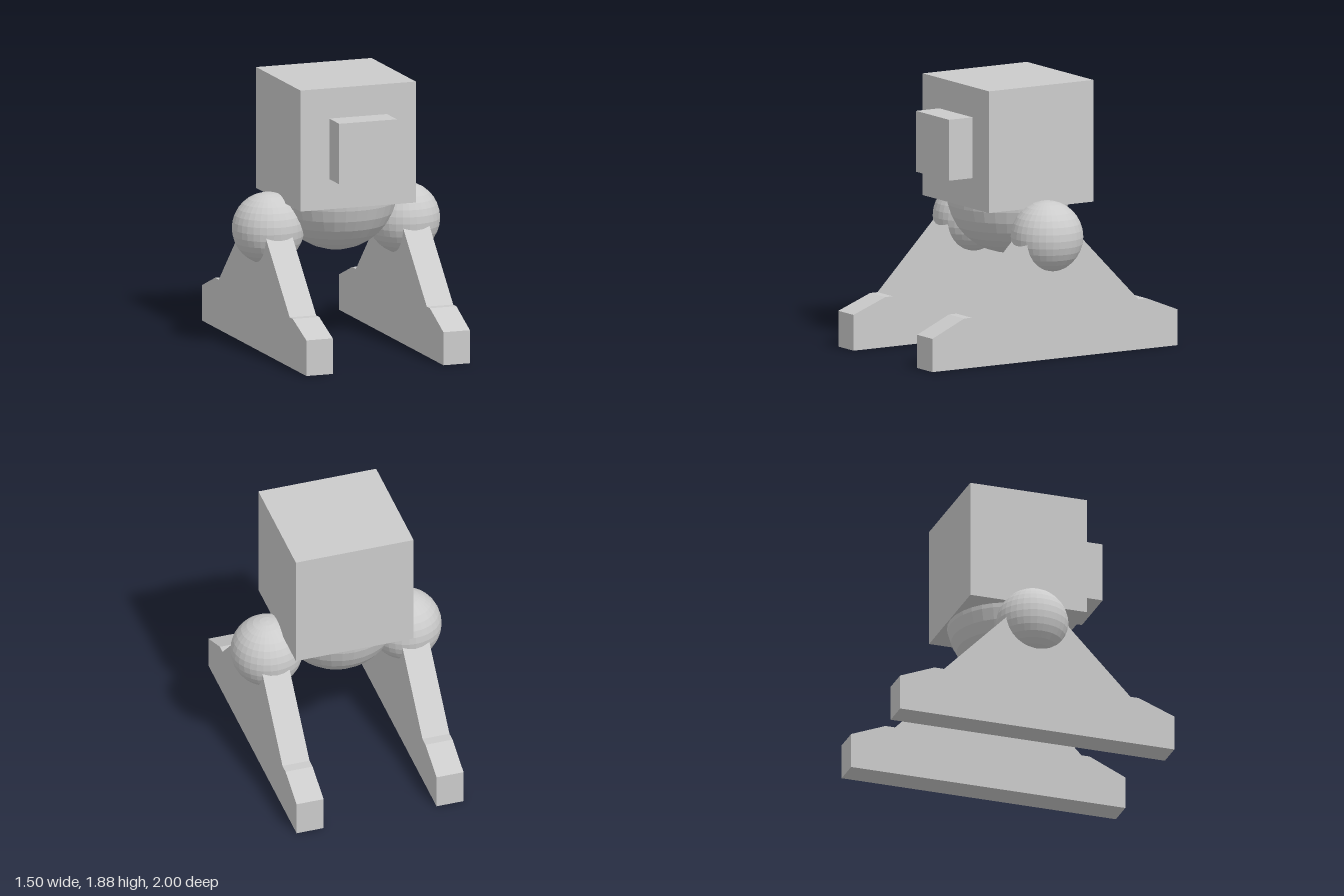
import * as THREE from 'three';

const material = new THREE.MeshStandardMaterial({ color: 0xcccccc, flatShading: true });

function part(name, geometry, x, y, z) {
  const mesh = new THREE.Mesh(geometry, material);
  mesh.name = name;
  mesh.position.set(x, y, z);
  return mesh;
}

// Side profile of a leg, drawn as (z, y) and extruded across x
function legGeometry(width, frontToe) {
  const profile = [
    [-1, 0], [1, 0], [1, frontToe], [0.74, 0.35], [0.68, 0.35], [0.2, 0.84],
    [-0.2, 0.84], [-0.68, 0.35], [-0.75, 0.35], [-1, 0.25],
  ];
  const shape = new THREE.Shape(profile.map(([z, y]) => new THREE.Vector2(z, y)));
  const geometry = new THREE.ExtrudeGeometry(shape, { depth: width, bevelEnabled: false });
  geometry.translate(0, 0, -width / 2);
  geometry.rotateY(-Math.PI / 2);
  return geometry;
}

export function createModel() {
  const model = new THREE.Group();
  model.name = 'walker';

  // Head cube with a square snout, resting on a round body
  model.add(part('head', new THREE.BoxGeometry(0.85, 0.85, 0.85), 0, 1.455, 0));
  model.add(part('snout', new THREE.BoxGeometry(0.425, 0.425, 0.2), 0, 1.455, 0.515));
  model.add(part('body', new THREE.SphereGeometry(0.425, 32, 16), 0, 1.083, 0));

  // Hip ball and long-footed leg on each side
  for (const side of [-1, 1]) {
    const label = side > 0 ? 'left' : 'right';
    model.add(part(label + 'Hip', new THREE.SphereGeometry(0.25, 32, 16), side * 0.5, 0.838, 0));
    model.add(part(label + 'Leg', legGeometry(0.195, side > 0 ? 0.232 : 0.25), side * 0.505, 0, 0));
  }
  return model;
}
